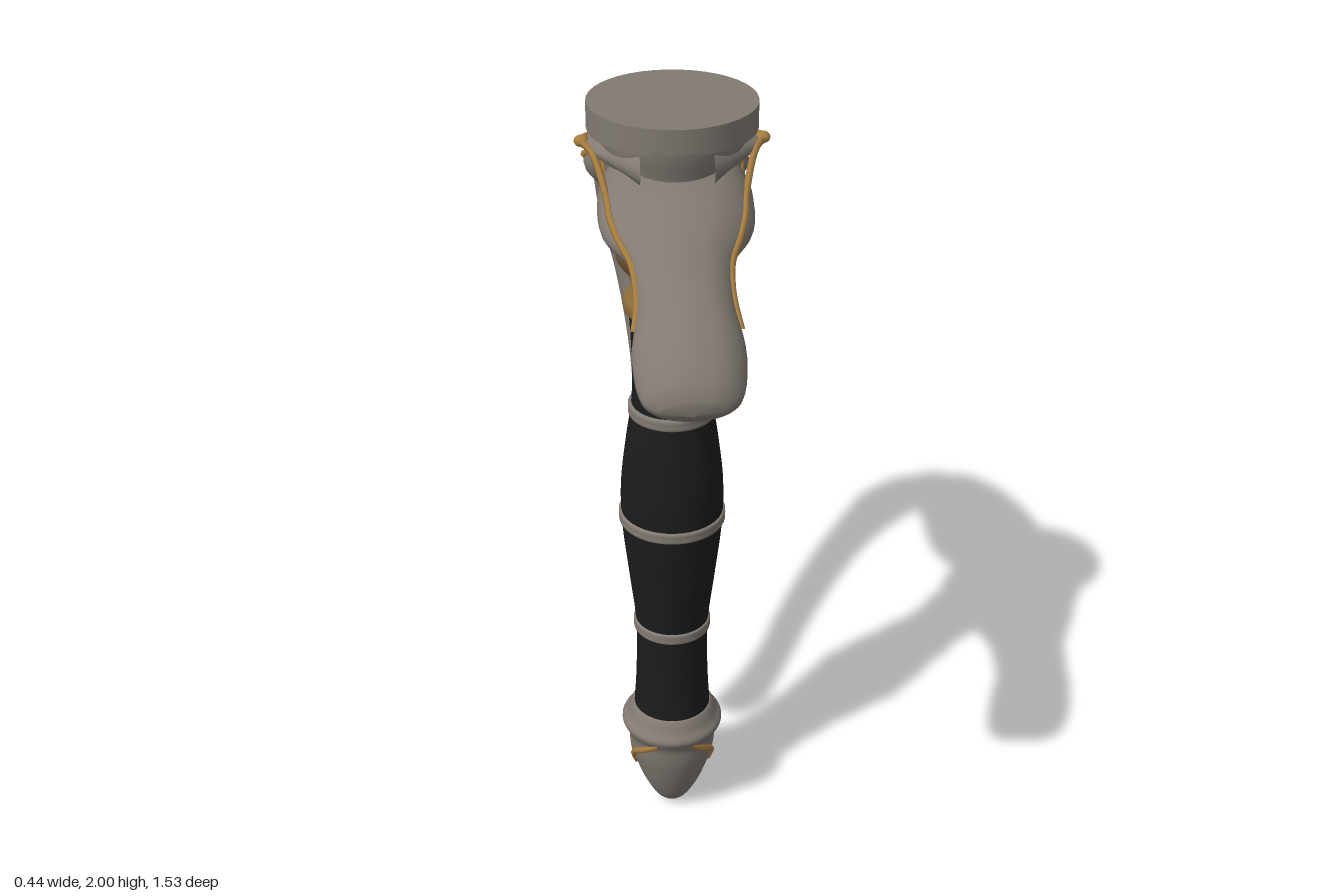
import * as THREE from 'three';

const mat = (name, color) => {
  const m = new THREE.MeshStandardMaterial({ color });
  m.name = name;
  return m;
};
const AXIS_Z = 0.065; // the grip stands slightly forward of the centre

// Guard stations, front tip to knuckle bow tip: outer z, y, inner z, y, half width
const QUILLON = [
  [0.766, 1.612, 0.75, 1.582, 0.055], [0.745, 1.665, 0.705, 1.563, 0.1],
  [0.667, 1.735, 0.62, 1.605, 0.116], [0.56, 1.775, 0.51, 1.675, 0.102],
  [0.40, 1.81, 0.38, 1.705, 0.11], [0.265, 1.86, 0.25, 1.69, 0.165],
];
const SHOULDER = [
  [0.18, 1.93, 0.16, 1.70, 0.17], [0.065, 1.945, 0.065, 1.72, 0.15],
  [-0.05, 1.93, -0.03, 1.70, 0.172], [-0.14, 1.865, -0.12, 1.69, 0.193],
];
const BOW = [
  [-0.285, 1.82, -0.25, 1.695, 0.19], [-0.47, 1.78, -0.365, 1.67, 0.172],
  [-0.63, 1.70, -0.487, 1.595, 0.166], [-0.72, 1.58, -0.566, 1.50, 0.165],
  [-0.762, 1.42, -0.603, 1.39, 0.148], [-0.75, 1.265, -0.60, 1.24, 0.112],
  [-0.68, 1.05, -0.56, 1.06, 0.08], [-0.577, 0.865, -0.49, 0.90, 0.068],
  [-0.418, 0.665, -0.345, 0.69, 0.058], [-0.286, 0.52, -0.21, 0.555, 0.05],
  [-0.228, 0.41, -0.112, 0.425, 0.056], [-0.205, 0.345, -0.095, 0.35, 0.058],
  [-0.175, 0.312, -0.12, 0.31, 0.035],
];
const ALL = [...QUILLON, ...SHOULDER, ...BOW];
const LAST = ALL.length - 1;
const outer = new THREE.CatmullRomCurve3(ALL.map(s => new THREE.Vector3(s[4], s[1], s[0])));
const inner = new THREE.CatmullRomCurve3(ALL.map(s => new THREE.Vector3(0, s[3], s[2])));

// Rounded cross-section, wider towards the inner face
const HALF = [[0, 1], [0.3, 0.95], [0.6, 0.8], [0.88, 0.4], [1, -0.05], [0.85, -0.5], [0.45, -0.9], [0, -1]];
const section = new THREE.CatmullRomCurve3(
  [...HALF, ...HALF.slice(1, 7).reverse().map(([a, b]) => [-a, b])].map(([a, b]) => new THREE.Vector3(a, b, 0)), true);

// Point on the guard at station s and section position u (0 top, 4 edge, 7 underside)
function surf(s, u, side = 1) {
  const o = outer.getPoint(s / LAST), i = inner.getPoint(s / LAST), p = section.getPoint(u / 14);
  // the bow rises to a ridge along its middle
  if (p.y > 0) p.y *= 1 - 0.42 * THREE.MathUtils.smoothstep(s, 10, 13) * Math.abs(p.x);
  return new THREE.Vector3(side * p.x * o.x,
    (o.y + i.y) / 2 + (o.y - i.y) / 2 * p.y, (o.z + i.z) / 2 + (o.z - i.z) / 2 * p.y);
}

function guardGeometry() {
  const rows = 110, cols = 42, pos = [], idx = [];
  for (let i = 0; i <= rows; i++) {
    const s = i / rows * LAST, end = i === 0 || i === rows;
    const centre = surf(s, 0).add(surf(s, 7)).multiplyScalar(0.5);
    for (let j = 0; j < cols; j++) {
      const p = end ? centre : surf(s, j / cols * 14);
      pos.push(p.x, p.y, p.z);
      if (i === rows) continue;
      const a = i * cols + j, b = i * cols + (j + 1) % cols;
      idx.push(a, b, a + cols, b, b + cols, a + cols);
    }
  }
  const g = new THREE.BufferGeometry();
  g.setAttribute('position', new THREE.Float32BufferAttribute(pos, 3));
  g.setIndex(idx);
  g.computeVertexNormals();
  return g;
}

export function createModel() {
  const model = new THREE.Group();
  const metal = mat('warm grey metal', 0x827a73);
  const gold = mat('old gold', 0xa67d40);
  const darkGold = mat('dark gold', 0x8a6a38);
  const patina = mat('brown patina', 0x77603f);
  const leather = mat('black leather', 0x1c1c1c);

  const add = (name, geo, material, x = 0, y = 0, z = 0) => {
    const m = new THREE.Mesh(geo, material);
    m.name = name;
    m.position.set(x, y, z);
    model.add(m);
    return m;
  };
  // Turned part on the grip axis; points run bottom to top as [radius, y]
  const turned = (name, pts, material) => {
    const v = new THREE.SplineCurve(pts.map(p => new THREE.Vector2(...p))).getPoints(pts.length * 5);
    return add(name, new THREE.LatheGeometry(v.map(p => p.setX(Math.max(p.x, 0))), 40), material, 0, 0, AXIS_Z);
  };
  const trim = (name, pts, r = 0.009) => add(name,
    new THREE.TubeGeometry(new THREE.CatmullRomCurve3(pts), 60, r, 6), gold);

  // Grip, bands and collar
  turned('grip', [[0.1, 0.33], [0.093, 0.45], [0.092, 0.6], [0.108, 0.75], [0.124, 0.9],
    [0.126, 1.02], [0.113, 1.14], [0.099, 1.24], [0.095, 1.35], [0.102, 1.5]], leather);
  for (const [y, r] of [[0.603, 0.098], [0.932, 0.132], [1.233, 0.106]]) {
    turned('gripBand', [[r - 0.014, y - 0.017], [r - 0.001, y - 0.013], [r, y],
      [r - 0.001, y + 0.013], [r - 0.014, y + 0.017]], metal);
  }
  turned('collar', [[0.095, 1.488], [0.111, 1.493], [0.115, 1.51], [0.111, 1.528], [0.09, 1.535]], darkGold);

  // Pommel with a pointed gold trim on either side
  turned('pommel', [[0, 0.005], [0.04, 0.025], [0.08, 0.1], [0.108, 0.19], [0.116, 0.25],
    [0.132, 0.288], [0.118, 0.312], [0.102, 0.342], [0.08, 0.343]], metal);
  for (const side of [1, -1]) {
    trim('pommelTrim', [[-70, 0.272, 0.121], [-45, 0.235, 0.115], [-20, 0.195, 0.109], [0, 0.14, 0.094],
      [20, 0.195, 0.109], [45, 0.235, 0.115], [70, 0.272, 0.121]].map(([deg, y, r]) => {
      const a = deg * Math.PI / 180;
      return new THREE.Vector3(side * r * Math.cos(a), y, AXIS_Z + r * Math.sin(a));
    }));
  }

  // Hub, flaring into the neck, and top disc
  turned('hub', [[0.1, 1.525], [0.107, 1.56], [0.123, 1.605], [0.145, 1.65], [0.172, 1.695], [0.17, 1.78],
    [0.174, 1.86], [0.188, 1.92], [0.192, 1.945]], metal).scale.x = 0.88;
  add('topDisc', new THREE.CylinderGeometry(0.19, 0.19, 0.06, 40), metal, 0, 1.97, AXIS_Z);

  // Front quillon and knuckle bow in one sweep
  add('guard', guardGeometry(), metal);

  for (const side of [1, -1]) {
    // Beaked ear at the side of the hub
    const ear = add('ear', new THREE.ConeGeometry(1, 0.135, 24, 4, true), metal, side * 0.147, 1.902, AXIS_Z);
    ear.rotation.z = -side * Math.PI / 2;
    ear.scale.set(0.06, 1, 0.2);
    const tip = add('earTip', new THREE.SphereGeometry(0.016, 12, 8), gold, side * 0.2, 1.908, AXIS_Z);
    tip.scale.set(1.1, 0.8, 1.3);

    // Gold edging from the ear along the quillon and onto the bow
    const earPoint = (x, y, z) => new THREE.Vector3(side * x, y, z);
    trim('quillonTrim', [earPoint(0.205, 1.91, AXIS_Z), earPoint(0.178, 1.9, 0.122), surf(5.5, 3, side),
      surf(5, 3, side), surf(4.5, 3.3, side), surf(4, 3.6, side), surf(3.5, 3.7, side),
      surf(3, 3.7, side), surf(2.5, 3.9, side)], 0.008);
    trim('shoulderTrim', [earPoint(0.205, 1.91, AXIS_Z), earPoint(0.178, 1.9, 0.008), surf(8.5, 3, side),
      surf(9, 3.2, side), surf(9.4, 3.6, side), surf(9.8, 4, side)]);

    // Gold line splitting from the middle of the bow and running to its tip
    const line = [];
    for (let s = 10; s <= 21; s += 0.5) {
      const u = s < 12 ? (s - 10) * 0.85 : s < 18 ? 1.7 : 1.7 + (s - 18) * 0.6;
      line.push(surf(s, u, side));
    }
    trim('bowTrim', line);
    const bowPatch = add('bowTipPatch', new THREE.SphereGeometry(1, 14, 10), darkGold);
    bowPatch.position.copy(surf(20.8, 4, side));
    bowPatch.position.x -= side * 0.004;
    bowPatch.scale.set(0.008, 0.034, 0.026);

    // Gold-rimmed leaf below the ear
    const leaf = add('leaf', new THREE.SphereGeometry(1, 16, 12), metal, side * 0.146, 1.775, AXIS_Z);
    leaf.scale.set(0.02, 0.09, 0.026);
    for (const k of [1, -1]) {
      trim('leafRim', [[1.87, 0], [1.82, 0.022], [1.77, 0.028], [1.72, 0.016], [1.67, 0]]
        .map(([y, z]) => new THREE.Vector3(side * (y < 1.7 ? 0.142 : 0.153), y, AXIS_Z + k * z)), 0.006);
      // Brown patches on the lower hub
      const patch = add('patinaPatch', new THREE.SphereGeometry(1, 14, 10), patina,
        side * 0.106, 1.645, AXIS_Z + k * 0.078);
      patch.scale.set(0.012, 0.04, 0.036);
      patch.rotation.set(0, -side * k * 0.62, -side * 0.45);
    }
  }
  return model;
}
